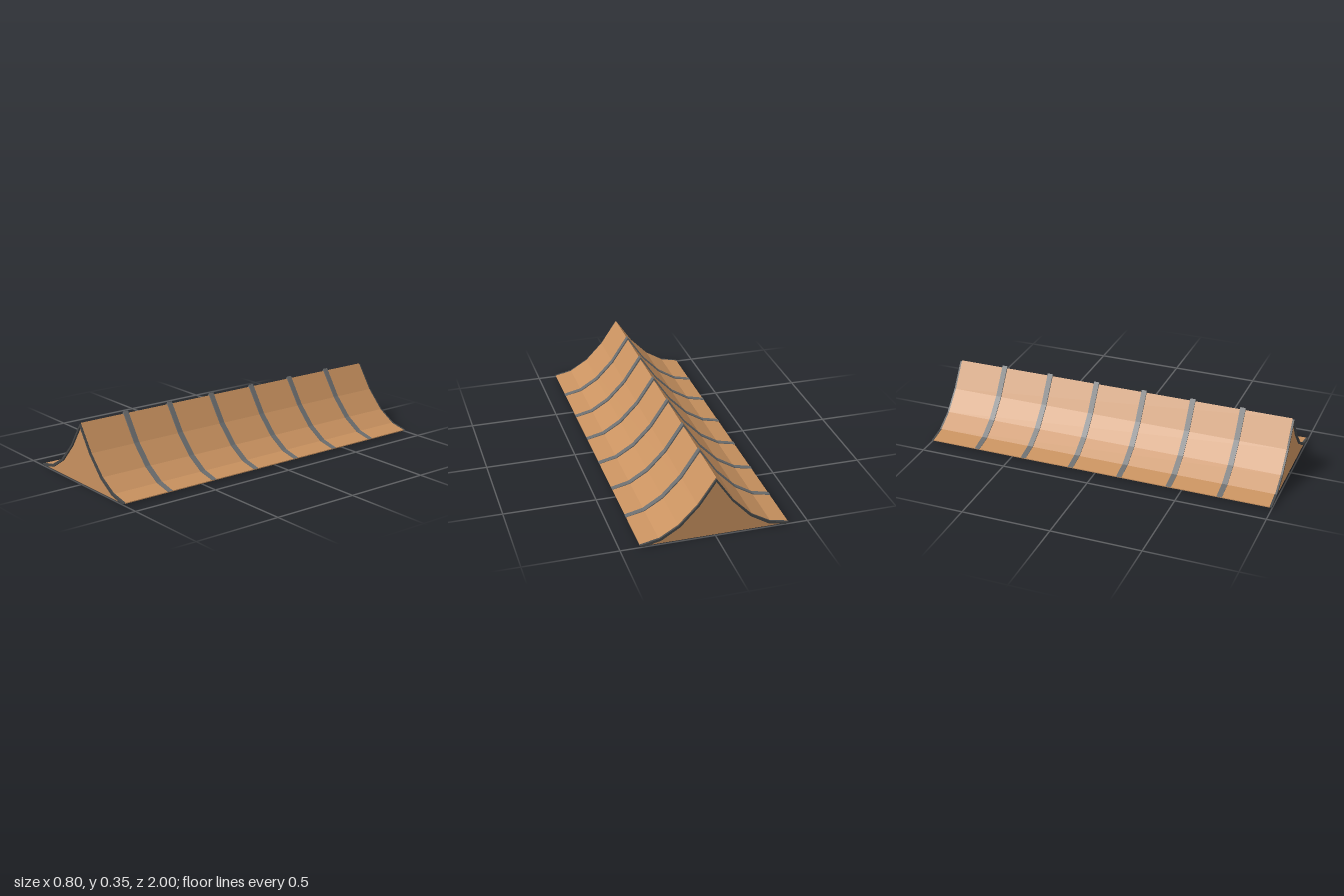
import * as THREE from 'three';

// Half profiles from ridge to eave: [x, y]
const SKIN = [[0, 0.337], [0.096, 0.196], [0.196, 0.093], [0.297, 0.032], [0.395, 0.011]];
const RIB = [[0, 0.35], [0.1, 0.2], [0.2, 0.097], [0.3, 0.035], [0.398, 0.012]];
const TRIM = [[0, 0.332], [0.094, 0.194], [0.194, 0.092], [0.297, 0.032], [0.398, 0.011]];
const INNER = [[0, 0.315], [0.085, 0.19], [0.185, 0.083], [0.285, 0.021], [0.38, 0]];

// Full outline from the -x eave over the ridge to the +x eave
const mirror = (half) => [
  ...half.slice(1).reverse().map(([x, y]) => [-x, y]),
  ...half,
].map(([x, y]) => new THREE.Vector2(x, y));

// Bent strip between two profiles, extruded along z and centred on it
function band(outer, inner, depth) {
  const shape = new THREE.Shape([...mirror(outer), ...mirror(inner).reverse()]);
  return new THREE.ExtrudeGeometry(shape, { depth, bevelEnabled: false })
    .translate(0, 0, -depth / 2);
}

export function createModel() {
  const group = new THREE.Group();
  const material = (name, color, side = THREE.FrontSide) => {
    const m = new THREE.MeshStandardMaterial({ color, side });
    m.name = name;
    return m;
  };
  const canvas = material('tan canvas', 0xc8915f, THREE.DoubleSide);
  const grey = material('grey frame', 0x6b6d6e);
  const dark = material('dark trim', 0x464849);

  const add = (name, geometry, mat, z = 0) => {
    const mesh = new THREE.Mesh(geometry, mat);
    mesh.name = name;
    mesh.position.z = z;
    group.add(mesh);
  };

  // Canvas roof, open underneath
  const lining = SKIN.map(([x, y]) => [x, y - 0.005]);
  add('roofCover', band(SKIN, lining, 1.98), canvas);

  // Ribs crossing the cover
  const rib = band(RIB, INNER, 0.03);
  for (let i = 1; i < 7; i++) add('rib' + i, rib, grey, -0.998 + (i * 1.996) / 7);

  // Closed gables with a trim under the edge of the cover
  const gable = new THREE.ShapeGeometry(new THREE.Shape(mirror(INNER)));
  const trim = band(TRIM, INNER, 0.012);
  for (const [end, s] of [['front', 1], ['back', -1]]) {
    add(end + 'Gable', gable, canvas, s * 0.99);
    add(end + 'Trim', trim, dark, s * 0.994);
  }
  return group;
}
